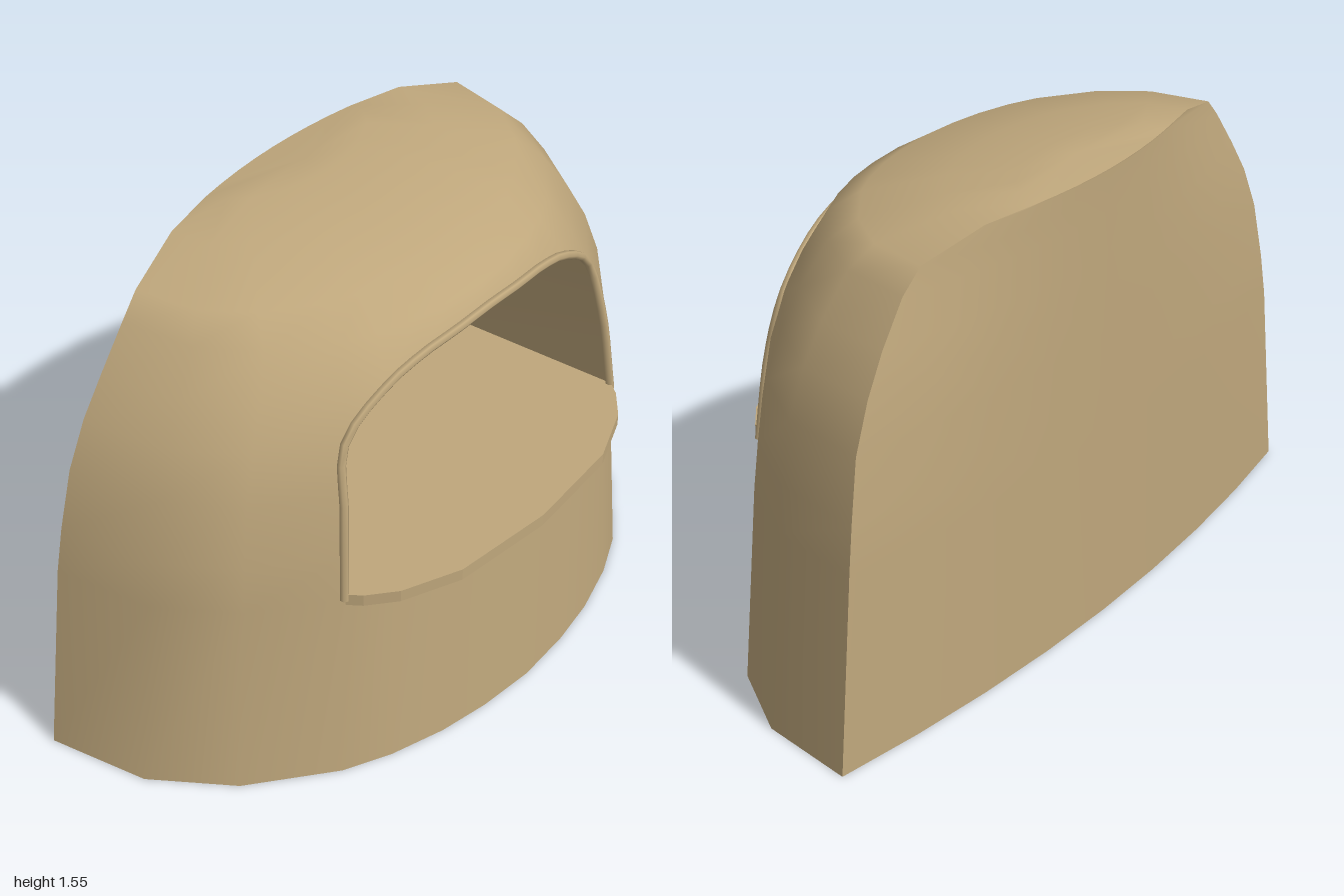
import * as THREE from 'three';
import { mergeVertices, toCreasedNormals } from 'three/addons/utils/BufferGeometryUtils.js';

// Dome rings: height, width scale, depth scale, depth offset of the back corner
const rings = [
  [0, 1, 1, 0], [0.65, 0.94, 0.96, 0.005], [0.8, 0.92, 0.945, 0.01], [1, 0.885, 0.91, 0.02],
  [1.15, 0.83, 0.87, 0.025], [1.27, 0.766, 0.82, 0.03], [1.4, 0.685, 0.74, 0.03],
  [1.47, 0.625, 0.62, 0.02], [1.53, 0.44, 0.35, -0.04], [1.55, 0.28, 0.12, -0.08],
];
// Base outline from the middle of the front to the back corner: x, z, arch height
const half = [
  [0, 0.93, 1.34], [0.2, 0.915, 1.33], [0.37, 0.885, 1.315], [0.55, 0.83, 1.27],
  [0.7, 0.76, 1.15], [0.95, 0.565], [1.115, 0.325], [1.175, 0],
];
const mirror = (pts) => [...pts.slice(1).reverse().map(([x, ...r]) => [-x, ...r]), ...pts];
const columns = mirror(half);
const TOP = 1.55, SILL = 0.65;

// Point on the dome for an outline column at height y
function onDome([x, z], y) {
  let j = 1;
  while (j < rings.length - 1 && rings[j][0] < y) j++;
  const a = rings[j - 1], b = rings[j];
  const t = (y - a[0]) / (b[0] - a[0]);
  const [w, d, c] = [1, 2, 3].map((k) => a[k] + (b[k] - a[k]) * t);
  const drop = z === 0 && y === TOP ? 0.015 : 0;
  return [x * w, y - drop, z * d + c * (1 - z / 0.93)];
}

// Point on the gently bowed back wall, s from -1 to 1
function onBack(s, [y, w, , c]) {
  return [s * 1.175 * w, y === TOP ? y - 0.015 : y, c + (-0.108 - c) * (1 - s * s)];
}

function surface(tris, smooth = true) {
  let g = new THREE.BufferGeometry();
  g.setAttribute('position', new THREE.Float32BufferAttribute(tris.flat(2), 3));
  if (smooth) g = mergeVertices(g, 1e-4);
  g.computeVertexNormals();
  return smooth ? g : toCreasedNormals(g, 0.6);
}
const quad = (a, b, c, d) => [[a, b, c], [a, c, d]];

export function createModel() {
  const clay = new THREE.MeshStandardMaterial({ color: 0xbfa77c, side: THREE.DoubleSide });
  clay.name = 'clay';
  const oven = new THREE.Group();
  oven.name = 'oven';
  const add = (name, geometry) => {
    const m = new THREE.Mesh(geometry, clay);
    m.name = name;
    oven.add(m);
    return m;
  };

  // Outer shell, leaving the arched mouth open
  const shell = [];
  const heights = rings.map((r) => r[0]);
  for (let i = 0; i < columns.length - 1; i++) {
    const a = columns[i], b = columns[i + 1];
    const mouth = a[2] !== undefined && b[2] !== undefined;
    for (let j = 0; j < heights.length - 1; j++) {
      const lo = heights[j], hi = heights[j + 1];
      const lift = (col, y) => (mouth && lo >= SILL ? Math.max(y, col[2]) : y);
      const p = [onDome(a, lift(a, lo)), onDome(b, lift(b, lo)), onDome(b, lift(b, hi)), onDome(a, lift(a, hi))];
      if (lift(b, hi) > lift(b, lo)) shell.push([p[0], p[1], p[2]]);
      if (lift(a, hi) > lift(a, lo)) shell.push([p[0], p[2], p[3]]);
    }
  }
  // Roof cap joins the top ring
  const steps = mirror([[0], [0.25], [0.5], [0.75], [1]]).map((s) => s[0]);
  const closedRing = (ring) => [
    ...columns.map((c) => onDome(c, ring[0])),
    ...steps.slice(1, -1).reverse().map((s) => onBack(s, ring)),
  ];
  const fan = (centre, loop) => loop.map((p, i) => [centre, p, loop[(i + 1) % loop.length]]);
  shell.push(...fan([0, TOP, 0.02], closedRing(rings[rings.length - 1])));
  add('domeShell', surface(shell));

  // Back wall
  const back = [];
  for (let j = 0; j < rings.length - 1; j++) {
    for (let i = 0; i < steps.length - 1; i++) {
      const [s, t, r, q] = [steps[i], steps[i + 1], rings[j], rings[j + 1]];
      back.push(...quad(onBack(s, r), onBack(s, q), onBack(t, q), onBack(t, r)));
    }
  }
  add('backWall', surface(back));

  // Underside
  add('base', surface(fan([0, 0, 0.3], closedRing(rings[0]).reverse())));

  // Chamber: the mouth arch lofted back to a smaller arch
  const side = half[4];
  const frontHalf = [...half.slice(0, 5).map((c) => onDome(c, c[2])), onDome(side, 0.95), onDome(side, SILL)];
  const rearHalf = [[0, 1.28, 0], [0.17, 1.27, 0], [0.3, 1.235, 0], [0.41, 1.18, 0],
    [0.52, 1.09, 0], [0.56, 0.96, 0], [0.6, SILL, 0]];
  const front = mirror(frontHalf), rear = mirror(rearHalf);
  const tunnel = [];
  for (let i = 0; i < front.length - 1; i++) {
    tunnel.push(...quad(front[i], rear[i], rear[i + 1], front[i + 1]));
  }
  add('chamberVault', surface(tunnel, false));
  add('chamberBack', new THREE.ShapeGeometry(
    new THREE.Shape(rear.map(([x, y]) => new THREE.Vector2(x, y)).reverse())));

  // Rim around the mouth
  const rimPath = new THREE.CatmullRomCurve3(front.map((p) => new THREE.Vector3(...p)));
  add('mouthRim', new THREE.TubeGeometry(rimPath, 36, 0.014, 6));

  // Chamber floor with a lip standing out of the mouth
  const floorHalf = [[0, 0.957], [0.35, 0.924], [0.54, 0.845], [0.625, 0.775], [0.665, 0.72], [0.6, 0]];
  const floorShape = new THREE.Shape(mirror(floorHalf).map(([x, z]) => new THREE.Vector2(x, -z)));
  const floor = add('floorSlab', new THREE.ExtrudeGeometry(floorShape, { depth: 0.04, bevelEnabled: false }));
  floor.rotation.x = -Math.PI / 2;
  floor.position.y = 0.63;

  // The oven stands turned toward a corner
  oven.rotation.y = 0.692;
  oven.position.set(-0.095, 0, -0.15);
  const model = new THREE.Group();
  model.name = 'cornerOven';
  model.add(oven);
  return model;
}
